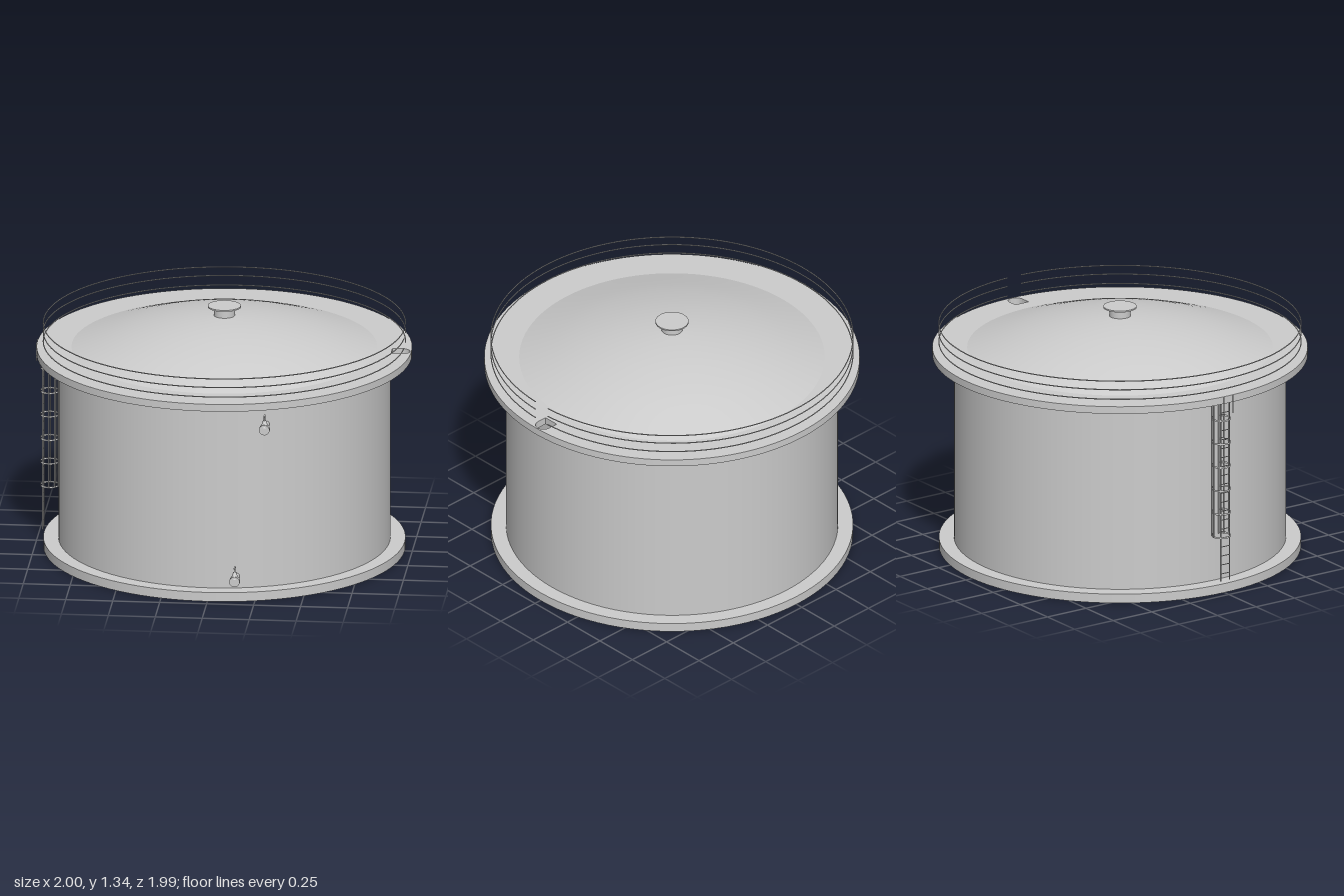
import * as THREE from 'three';
import { toCreasedNormals } from 'three/addons/utils/BufferGeometryUtils.js';

const grey = new THREE.MeshStandardMaterial({ color: 0xcccccc });
const greyDouble = new THREE.MeshStandardMaterial({ color: 0xcccccc, side: THREE.DoubleSide });

export function createModel() {
  const model = new THREE.Group();

  function add(parent, name, geometry, x = 0, y = 0, z = 0, material = grey) {
    const mesh = new THREE.Mesh(geometry, material);
    mesh.name = name;
    mesh.position.set(x, y, z);
    parent.add(mesh);
    return mesh;
  }
  // upright cylinder between two heights
  function column(parent, name, r, y0, y1, x = 0, z = 0, sides = 96, rTop = r) {
    return add(parent, name, new THREE.CylinderGeometry(rTop, r, y1 - y0, sides), x, (y0 + y1) / 2, z);
  }
  function group(name, x = 0, y = 0, z = 0) {
    const g = new THREE.Group();
    g.name = name;
    g.position.set(x, y, z);
    model.add(g);
    return g;
  }

  // Tank body
  column(model, 'basePlate', 0.96, 0, 0.05);
  column(model, 'tankWall', 0.88, 0.05, 1.07);

  // Roof walkway with an access opening on the left side
  const disc = new THREE.Shape().absarc(0, 0, 0.995, 0, Math.PI * 2);
  const opening = new THREE.Path();
  opening.moveTo(0.89, -0.035);
  opening.lineTo(0.945, -0.035);
  opening.absarc(0.945, 0.0075, 0.0425, -Math.PI / 2, Math.PI / 2, false);
  opening.lineTo(0.89, 0.05);
  opening.closePath();
  disc.holes.push(opening);
  const walkway = new THREE.ExtrudeGeometry(disc, { depth: 0.04, bevelEnabled: false, curveSegments: 96 });
  walkway.rotateX(-Math.PI / 2);
  add(model, 'roofWalkway', toCreasedNormals(walkway, 0.6), 0, 1.07, 0);

  // Domed roof
  const domeCurve = new THREE.SplineCurve([
    [0.81, 1.11], [0.56, 1.194], [0.365, 1.244], [0.2, 1.272], [0.055, 1.285], [0, 1.286],
  ].map(([r, y]) => new THREE.Vector2(r, y)));
  add(model, 'domeRoof', new THREE.LatheGeometry(domeCurve.getPoints(24), 96), 0, 0, 0, greyDouble);

  // Roof vent
  column(model, 'ventNeck', 0.056, 1.27, 1.332, 0, 0, 40);
  column(model, 'ventCap', 0.088, 1.331, 1.339, 0, 0, 48);

  // Three guard rails, open at the access opening
  for (const y of [1.14, 1.193, 1.241]) {
    const rail = new THREE.TorusGeometry(0.96, 0.003, 6, 128, Math.PI * 2 - 0.093);
    rail.rotateZ(0.036);
    rail.rotateX(Math.PI / 2);
    add(model, 'guardRail', rail, 0, y, 0);
  }

  // Outlet valves on the front
  function valve(name, x, y, z) {
    const g = group(name, x, y, z);
    const pipe = new THREE.CylinderGeometry(0.018, 0.018, 0.11, 20).rotateX(Math.PI / 2);
    add(g, 'outletPipe', pipe, 0, 0, 0.04);
    const body = new THREE.CylinderGeometry(0.028, 0.028, 0.025, 24).rotateX(Math.PI / 2);
    add(g, 'valveBody', body, 0, 0, 0.088);
    column(g, 'bonnet', 0.021, 0.012, 0.05, 0, 0.082, 16, 0.008);
    column(g, 'stem', 0.005, 0.05, 0.073, 0, 0.082, 8);
    add(g, 'lever', new THREE.BoxGeometry(0.009, 0.005, 0.038), 0, 0.074, 0.082);
  }
  valve('upperValve', 0.3, 0.953, 0.83);
  valve('lowerValve', 0.145, 0.115, 0.87);

  // Ladder on the right side
  const ladder = group('ladder');
  for (const side of [-1, 1]) {
    const z = side * 0.029;
    column(ladder, 'ladderRail', 0.004, 0.07, 1.07, -0.965, z, 8);
    column(ladder, 'handRod', 0.003, 1.01, 1.11, -0.998, z, 8);
  }
  for (let i = 0; i < 19; i++) {
    const rung = new THREE.CylinderGeometry(0.0025, 0.0025, 0.058, 6).rotateX(Math.PI / 2);
    add(ladder, 'rung', rung, -0.965, 0.11 + i * 0.05, 0);
  }

  // Safety cage: hoops joined by upright bars
  const cage = group('safetyCage', -0.93, 0, 0);
  for (let i = 0; i < 6; i++) {
    const hoop = new THREE.CylinderGeometry(0.05, 0.05, 0.01, 32, 1, true);
    add(cage, 'hoop', hoop, 0, 0.312 + i * 0.131, 0, greyDouble);
  }
  for (const degrees of [-90, -52, -20, 20, 52, 90]) {
    const a = THREE.MathUtils.degToRad(degrees);
    column(cage, 'cageBar', 0.0035, 0.307, 1.07, 0.049 * Math.cos(a), 0.049 * Math.sin(a), 6);
  }

  return model;
}
